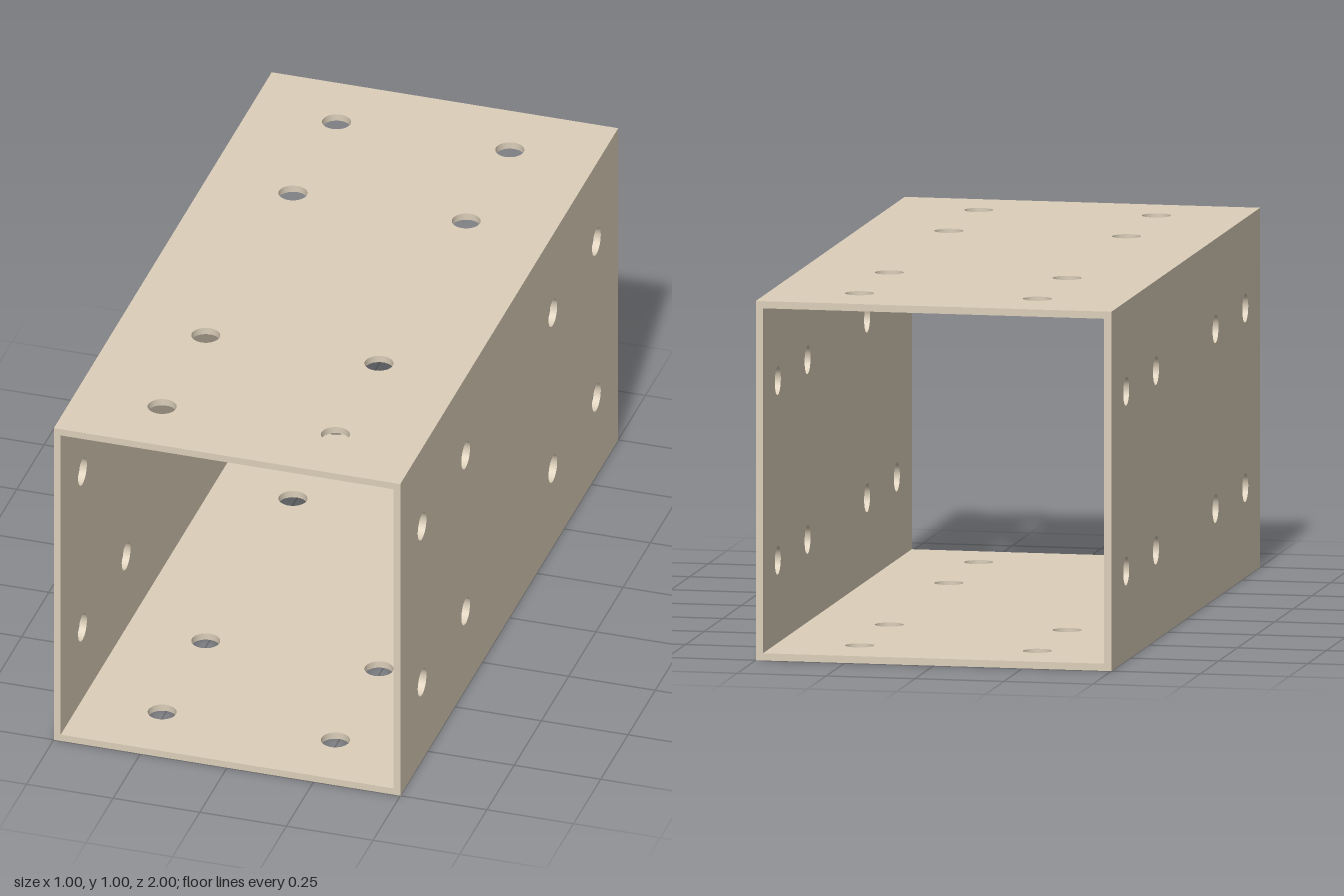
import * as THREE from 'three';
import { mergeGeometries } from 'three/addons/utils/BufferGeometryUtils.js';

const SIZE = 1, LENGTH = 2, WALL = 0.02, RADIUS = 0.04, SEGMENTS = 32;
const INNER = SIZE - 2 * WALL;

// Bolt hole centres on one wall: across the wall, along the tube
const holes = [-0.25, 0.25].flatMap(u => [-0.8, -0.4, 0.4, 0.8].map(v => [u, v]));

function rectangle(Type, w, h) {
  const x = w / 2, y = h / 2;
  return new Type([[-x, -y], [x, -y], [x, y], [-x, y]].map(p => new THREE.Vector2(...p)));
}

// Flat wall surface with round holes, facing +z
function drilledSheet(width) {
  const shape = rectangle(THREE.Shape, width, LENGTH);
  for (const [u, v] of holes) {
    shape.holes.push(new THREE.Path().absarc(u, v, RADIUS, 0, Math.PI * 2, true));
  }
  return new THREE.ShapeGeometry(shape, SEGMENTS / 2);
}

export function createModel() {
  const color = 0xdccfba;
  const material = new THREE.MeshStandardMaterial({ color });
  const boreMaterial = new THREE.MeshStandardMaterial({ color, side: THREE.BackSide });

  const tube = new THREE.Group();
  tube.name = 'squareTube';
  tube.position.y = SIZE / 2;

  const add = (parent, name, geometry, mat = material) => {
    const mesh = new THREE.Mesh(geometry, mat);
    mesh.name = name;
    parent.add(mesh);
  };

  // Wall skins, and the bores that join them
  const outer = drilledSheet(SIZE).translate(0, 0, SIZE / 2);
  const inner = drilledSheet(INNER).rotateY(Math.PI).translate(0, 0, INNER / 2);
  const skin = mergeGeometries([outer, inner]).rotateX(-Math.PI / 2);
  const bores = mergeGeometries(holes.map(([u, v]) =>
    new THREE.CylinderGeometry(RADIUS, RADIUS, WALL, SEGMENTS, 1, true)
      .translate(u, (SIZE - WALL) / 2, v)));

  // The same wall repeats around the tube
  ['topWall', 'rightWall', 'bottomWall', 'leftWall'].forEach((name, i) => {
    const wall = new THREE.Group();
    wall.name = name;
    wall.rotation.z = i * Math.PI / 2;
    add(wall, name + 'Panel', skin);
    add(wall, name + 'Holes', bores, boreMaterial);
    tube.add(wall);
  });

  // Square rims closing the wall thickness at both open ends
  const rimShape = rectangle(THREE.Shape, SIZE, SIZE);
  rimShape.holes.push(rectangle(THREE.Path, INNER, INNER));
  const rim = new THREE.ShapeGeometry(rimShape).translate(0, 0, LENGTH / 2);
  add(tube, 'frontRim', rim);
  add(tube, 'backRim', rim.clone().rotateY(Math.PI));

  const model = new THREE.Group();
  model.name = 'drilledSquareTube';
  model.add(tube);
  return model;
}
